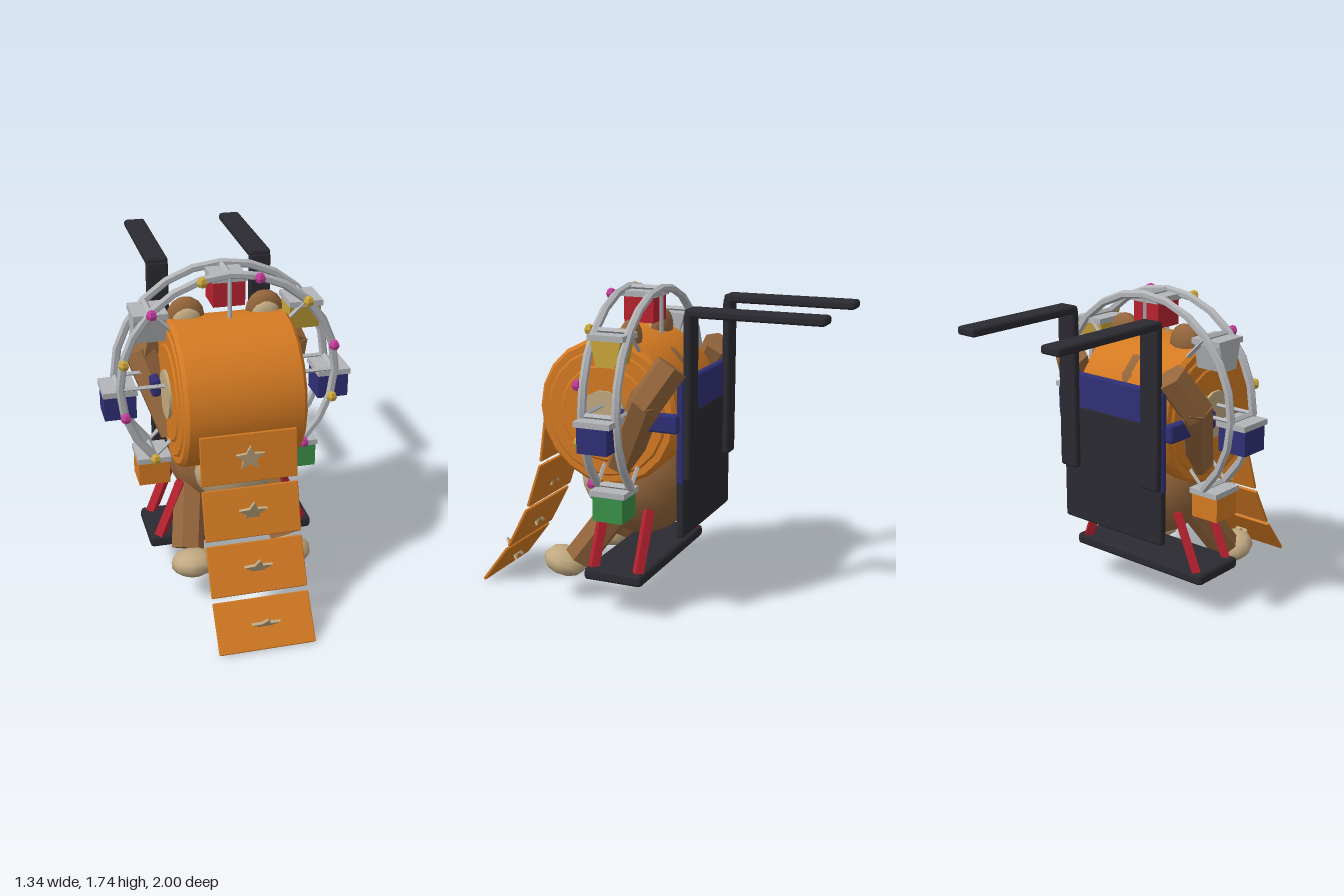
import * as THREE from 'three';
import { toCreasedNormals } from 'three/addons/utils/BufferGeometryUtils.js';
import { RoundedBoxGeometry } from 'three/addons/geometries/RoundedBoxGeometry.js';

const colours = {
  orange: 0xd47a22, brown: 0x94663c, beige: 0xc2aa82, black: 0x2a2a31, navy: 0x2f3076,
  red: 0xb8222f, grey: 0xb2b4b8, gold: 0xc9a63a, green: 0x3b9149, magenta: 0xc63c9c,
};

export function createModel() {
  const model = new THREE.Group();
  model.name = 'ferrisWheelBear';
  const mats = {};
  for (const [name, color] of Object.entries(colours)) {
    mats[name] = new THREE.MeshStandardMaterial({ color });
    mats[name].name = name;
  }

  const add = (name, geo, mat, pos = [0, 0, 0], parent = model) => {
    const mesh = new THREE.Mesh(geo, mats[mat]);
    mesh.name = name;
    mesh.position.set(...pos);
    parent.add(mesh);
    return mesh;
  };
  const box = (name, mat, size, pos, parent) =>
    add(name, new THREE.BoxGeometry(...size), mat, pos, parent);
  const rbox = (name, mat, size, pos, r = 0.015) =>
    add(name, new RoundedBoxGeometry(...size, 1, r), mat, pos);
  const ball = (name, mat, radii, pos, w = 14, h = 10) =>
    add(name, new THREE.SphereGeometry(1, w, h).scale(...radii), mat, pos);
  // Straight bar between two points, with flat faces
  const bar = (name, mat, a, b, r, sides = 6) => {
    const p = new THREE.Vector3(...a), q = new THREE.Vector3(...b);
    const geo = toCreasedNormals(new THREE.CylinderGeometry(r, r, p.distanceTo(q), sides), 0.3);
    const mesh = add(name, geo, mat, p.clone().add(q).multiplyScalar(0.5).toArray());
    mesh.quaternion.setFromUnitVectors(new THREE.Vector3(0, 1, 0), q.sub(p).normalize());
    return mesh;
  };

  // Drum, with stepped end faces
  const half = [[0, 0.332], [0.25, 0.332], [0.26, 0.324], [0.33, 0.324], [0.34, 0.315], [0.375, 0.315], [0.395, 0.295]];
  const profile = [
    ...half.map(([r, y]) => new THREE.Vector2(r, -y)),
    ...half.slice().reverse().map(([r, y]) => new THREE.Vector2(r, y)),
  ];
  const drum = toCreasedNormals(new THREE.LatheGeometry(profile, 20), 0.5).rotateZ(Math.PI / 2);
  add('drum', drum, 'orange', [0, 1.093, 0.165]);

  // Body and head
  ball('body', 'brown', [0.32, 0.32, 0.29], [0, 0.68, 0.08]);
  ball('belly', 'beige', [0.22, 0.2, 0.13], [0, 0.68, 0.3]);
  ball('head', 'brown', [0.235, 0.235, 0.235], [0, 1.2, 0.03], 8, 6);

  for (const s of [-1, 1]) {
    // Ears
    ball('ear', 'brown', [0.1, 0.1, 0.055], [s * 0.21, 1.48, 0.07], 10, 8);
    ball('innerEar', 'beige', [0.075, 0.07, 0.035], [s * 0.21, 1.465, 0.105], 10, 8);
    // Bent arms
    bar('lowerArm', 'brown', [s * 0.28, 0.82, 0.09], [s * 0.425, 1.22, -0.115], 0.09);
    bar('upperArm', 'brown', [s * 0.425, 1.17, -0.09], [s * 0.345, 1.38, -0.22], 0.09);
    // Legs and feet
    bar('leg', 'brown', [s * 0.215, 0.53, 0.16], [s * 0.275, 0.25, 0.36], 0.088);
    ball('foot', 'beige', [0.12, 0.075, 0.125], [s * 0.265, 0.215, 0.45], 10, 7).rotation.x = -0.3;
    // Hub and armrest
    const hub = new THREE.CylinderGeometry(0.13, 0.13, 0.03, 14).rotateZ(Math.PI / 2);
    add('hub', toCreasedNormals(hub, 0.6), 'beige', [s * 0.332, 1.09, 0.17]);
    rbox('armrest', 'navy', [0.05, 0.1, 0.37], [s * 0.375, 1.09, -0.085]);
    // Base braces
    for (const z of [0.21, -0.05]) bar('brace', 'red', [s * 0.4, 0.25, z], [s * 0.27, 0.575, z - 0.01], 0.033, 4);
    // Over-shoulder frame
    rbox('framePost', 'black', [0.12, 0.87, 0.045], [s * 0.285, 1.215, -0.297]);
    rbox('frameArm', 'black', [0.12, 0.045, 0.72], [s * 0.285, 1.65, -0.64]);
  }

  // Base and seat back
  rbox('basePlate', 'black', [0.91, 0.065, 0.335], [0, 0.233, 0.078], 0.02);
  rbox('seatBack', 'navy', [0.7, 0.55, 0.04], [0, 1.035, -0.264]);
  rbox('lowerBack', 'black', [0.69, 0.66, 0.046], [0, 0.8, -0.264]);

  // Wheel: two open rims joined by cross bars
  const wheelY = 1.14, R = 0.578, front = 0.175, back = -0.015, midZ = 0.08;
  for (const z of [front, back]) {
    const rim = new THREE.TorusGeometry(R, 0.023, 6, 18, Math.PI * 1.5).rotateZ(-Math.PI / 4);
    add('wheelRim', toCreasedNormals(rim, 0.5), 'grey', [0, wheelY, z]);
  }
  const cabinColours = ['green', 'navy', 'gold', 'red', 'grey', 'navy', 'orange'];
  cabinColours.forEach((colour, i) => {
    const a = (i - 1) * Math.PI / 4;
    const x = R * Math.cos(a), y = wheelY + R * Math.sin(a);
    const ix = 0.34 * Math.cos(a), iy = wheelY + 0.34 * Math.sin(a);
    for (const z of [front, back]) bar('spoke', 'grey', [ix, iy, z], [x, y, z], 0.012, 4);
    bar('crossBar', 'grey', [x, y, back], [x, y, front], 0.016, 4);

    // Hanging cabin under a flat canopy
    const cabin = new THREE.Group();
    cabin.name = 'cabin';
    cabin.position.set(x, y, midZ);
    model.add(cabin);
    box('canopy', 'grey', [0.18, 0.03, 0.2], [0, -0.025, 0], cabin);
    const car = new THREE.BoxGeometry(0.168, 0.135, 0.168);
    if (i === 2 || i === 4) {
      // Narrower floor on the two upper cabins
      const p = car.attributes.position;
      for (let k = 0; k < p.count; k++) if (p.getY(k) < 0) p.setZ(k, p.getZ(k) * 0.65);
      car.computeVertexNormals();
    }
    add('car', car, colour, [0, -0.1075, 0], cabin);
  });

  // Lights around the front rim
  for (let i = 0; i < 10; i++) {
    const a = (-45 + 30 * i) * Math.PI / 180;
    const geo = toCreasedNormals(new THREE.SphereGeometry(0.03, 5, 4), 0.1);
    add('light', geo, i % 2 ? 'gold' : 'magenta', [R * Math.cos(a), wheelY + R * Math.sin(a), 0.208]);
  }

  // Hanging ramp of four panels, each with a star
  const star = new THREE.Shape();
  for (let i = 0; i < 10; i++) {
    const r = i % 2 ? 0.036 : 0.078, a = Math.PI / 2 + i * Math.PI / 5;
    star[i ? 'lineTo' : 'moveTo'](r * Math.cos(a), r * Math.sin(a));
  }
  const starGeo = new THREE.ExtrudeGeometry(star, { depth: 0.014, bevelEnabled: false }).translate(0, 0, -0.007);
  const panels = [[0.583, 0.893, 0.14], [0.649, 0.614, 0.327], [0.762, 0.352, 0.49], [0.916, 0.112, 0.647]];
  for (const [z, y, tilt] of panels) {
    rbox('rampPanel', 'orange', [0.505, 0.262, 0.018], [0, y, z], 0.006).rotation.x = -tilt;
    add('star', starGeo, 'beige', [0, y + 0.008, z + 0.021]).rotation.x = tilt;
  }
  return model;
}
